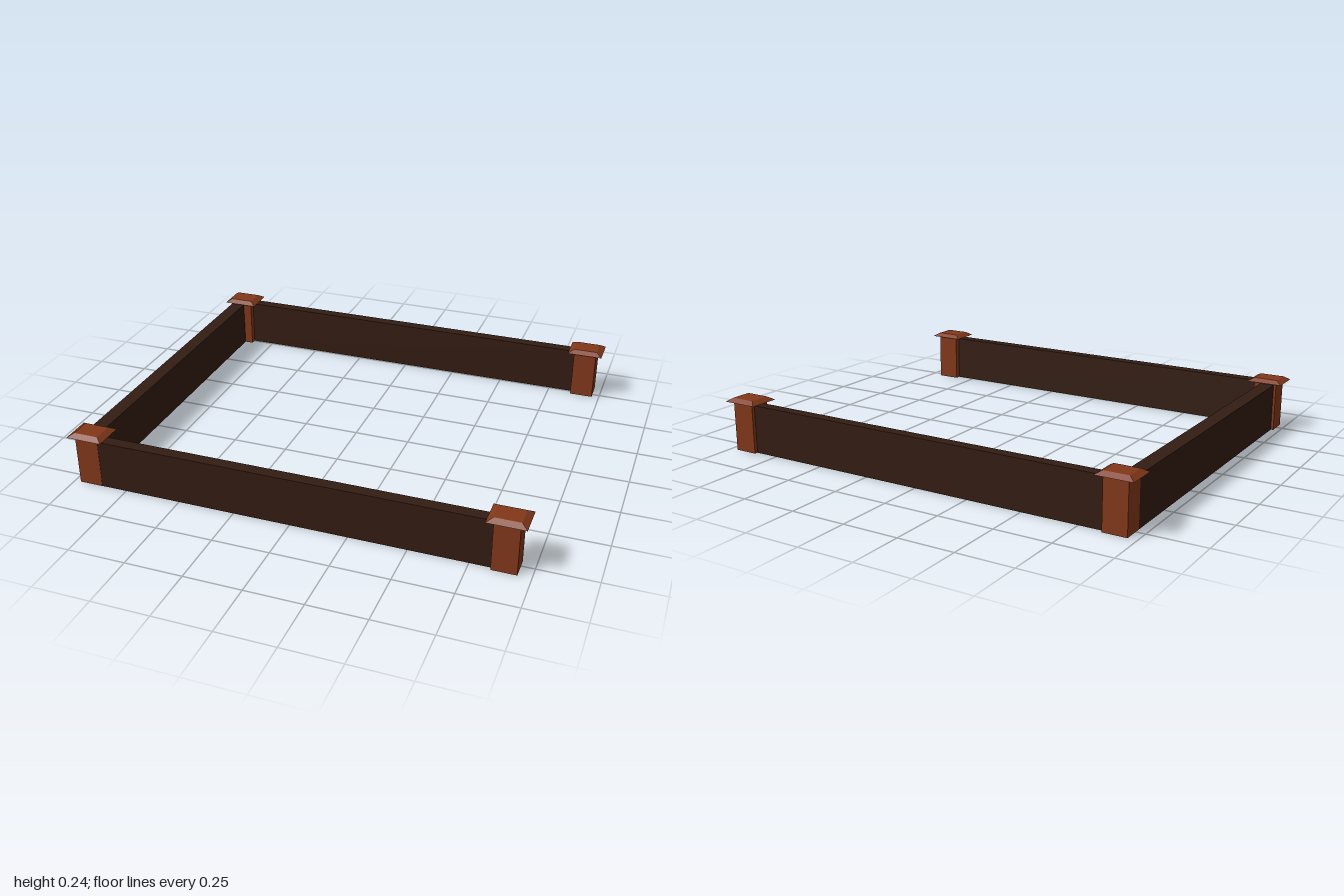
import * as THREE from 'three';

const postMat = new THREE.MeshStandardMaterial({ color: 0x82381a, flatShading: true });
const railMat = new THREE.MeshStandardMaterial({ color: 0x341d13, flatShading: true });

function box(name, size, pos, material) {
  const mesh = new THREE.Mesh(new THREE.BoxGeometry(...size), material);
  mesh.name = name;
  mesh.position.set(...pos);
  return mesh;
}

// Flat cap whose top is drawn in to make sloping edges
function capGeometry(w, h, d, topW, topD) {
  const g = new THREE.BoxGeometry(w, h, d);
  const p = g.attributes.position;
  for (let i = 0; i < p.count; i++) {
    if (p.getY(i) > 0) p.setXYZ(i, Math.sign(p.getX(i)) * topW / 2, h / 2, Math.sign(p.getZ(i)) * topD / 2);
  }
  g.computeVertexNormals();
  return g;
}

function post(name, x, z) {
  const group = new THREE.Group();
  group.name = name;
  group.position.set(x, 0, z);
  group.add(box('postShaft', [0.105, 0.224, 0.095], [0, 0.112, 0], postMat));
  const cap = new THREE.Mesh(capGeometry(0.162, 0.016, 0.138, 0.11, 0.09), postMat);
  cap.name = 'postCap';
  cap.position.y = 0.232;
  group.add(cap);
  return group;
}

export function createModel() {
  const model = new THREE.Group();
  model.name = 'lowFence';

  // Corner and end posts
  model.add(
    post('frontRightPost', -0.919, 0.752),
    post('frontLeftPost', 0.891, 0.766),
    post('backRightPost', -0.908, -0.772),
    post('backLeftPost', 0.913, -0.772)
  );

  // Boards on three sides, open on the left
  const h = 0.216;
  model.add(
    box('frontBoard', [1.78, h, 0.053], [-0.015, h / 2, 0.772], railMat),
    box('backBoard', [1.79, h, 0.05], [0.003, h / 2, -0.779], railMat),
    box('sideBoard', [0.064, h, 1.5], [-0.928, h / 2, -0.01], railMat)
  );
  return model;
}
